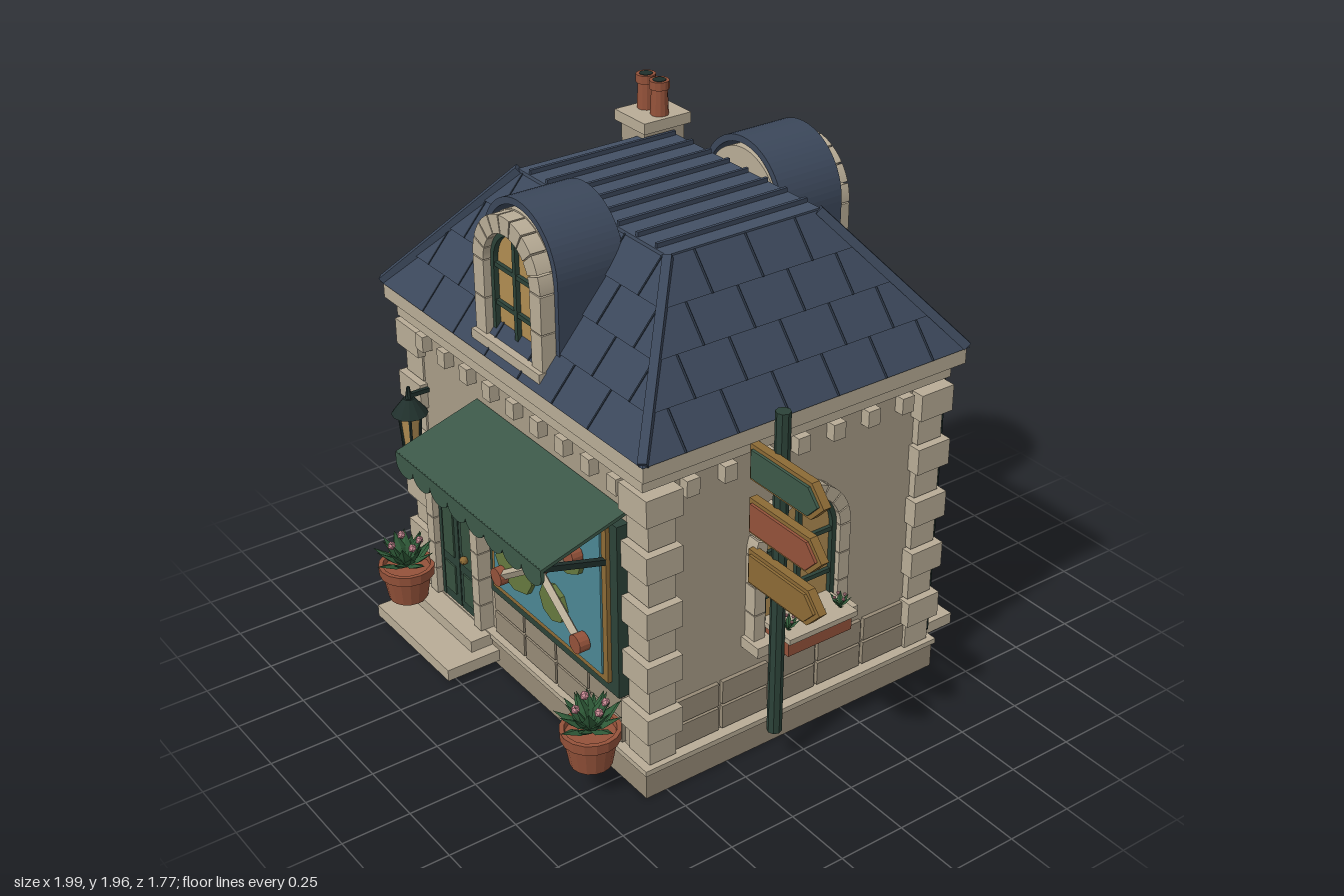
import * as THREE from 'three';

const C = { wall: 0xa89c87, stone: 0xb8ac96, block: 0x968a76, roof: 0x3b475a, seam: 0x2a3442, green: 0x2c4238, awning: 0x3c5848,
  glass: 0xb08c52, gold: 0x8c6a35, clay: 0x94523a, dark: 0x20302c, leaf: 0x2f5a38, pink: 0xc98a94, blue: 0x4b8793, lime: 0x66783f };
const CX = -0.105, CZ = -0.045;
const mats = {};
const mat = c => mats[c] ??= new THREE.MeshStandardMaterial({ color: c, flatShading: true, side: THREE.DoubleSide });

function add(p, name, geo, c, x = 0, y = 0, z = 0) {
  const m = new THREE.Mesh(geo, mat(c));
  m.name = name;
  m.position.set(x, y, z);
  p.add(m);
  return m;
}
function group(p, name, x = 0, y = 0, z = 0, ry = 0) {
  const g = new THREE.Group();
  g.name = name;
  g.position.set(x, y, z);
  g.rotation.y = ry;
  p.add(g);
  return g;
}
const box = (p, name, c, x0, x1, y0, y1, z0, z1) =>
  add(p, name, new THREE.BoxGeometry(x1 - x0, y1 - y0, z1 - z0), c, (x0 + x1) / 2, (y0 + y1) / 2, (z0 + z1) / 2);
const slab = (p, name, c, hx, hz, y0, y1) => box(p, name, c, -hx, hx, y0, y1, -hz, hz);
const cyl = (p, name, c, r1, r0, y0, y1, x, z, n = 12) =>
  add(p, name, new THREE.CylinderGeometry(r1, r0, y1 - y0, n), c, x, (y0 + y1) / 2, z);
const extrude = (p, name, c, shape, z0, z1) =>
  add(p, name, new THREE.ExtrudeGeometry(shape, { depth: z1 - z0, bevelEnabled: false, curveSegments: 16 }), c, 0, 0, z0);
function beam(p, name, c, a, b, w, h = w) {
  const A = new THREE.Vector3(...a), B = new THREE.Vector3(...b);
  const m = add(p, name, new THREE.BoxGeometry(w, h, A.distanceTo(B)), c);
  m.position.copy(A).lerp(B, 0.5);
  m.quaternion.setFromUnitVectors(new THREE.Vector3(0, 0, 1), B.sub(A).normalize());
  return m;
}
const poly = pts => new THREE.Shape(pts.map(q => new THREE.Vector2(...q)));
// Round-headed outline, optionally hollow
function arch(r, spring, bottom, hole = 0) {
  const s = new THREE.Shape().moveTo(r, bottom).lineTo(r, spring);
  s.absarc(0, spring, r, 0, Math.PI).lineTo(-r, bottom);
  if (hole) {
    s.lineTo(-hole, bottom).lineTo(-hole, spring).absarc(0, spring, hole, Math.PI, 0, true);
    s.lineTo(hole, bottom);
  }
  s.closePath();
  return s;
}

// Stone surround, glazing and glazing bars or door leaves, facing local +z
function opening(g, r, spring, bottom, ring, depth, door) {
  const n = 9, R = r + ring;
  for (let i = 0; i < n; i++) {
    const a = Math.PI * i / n + 0.015, b = Math.PI * (i + 1) / n - 0.015, s = new THREE.Shape();
    s.absarc(0, spring, R, a, b).absarc(0, spring, r, b, a, true).closePath();
    extrude(g, 'archStone', C.stone, s, 0, depth);
  }
  const rows = Math.max(2, Math.round((spring - bottom) / 0.11)), h = (spring - bottom) / rows;
  for (const s of [-1, 1]) for (let i = 0; i < rows; i++)
    add(g, 'jambStone', new THREE.BoxGeometry(ring, h - 0.004, depth), C.stone, s * (r + ring / 2), bottom + (i + 0.5) * h, depth / 2);
  extrude(g, 'glass', C.glass, arch(r, spring, bottom), 0, 0.012);
  extrude(g, 'frame', C.green, arch(r, spring, bottom, r - 0.018), 0.005, 0.03);
  if (door) {
    const top = spring - 0.06;
    for (const s of [-1, 1]) {
      const leaf = group(g, 'doorLeaf', s * r / 2);
      box(leaf, 'leaf', C.green, -r / 2 + 0.003, r / 2 - 0.003, bottom, top, 0, 0.028);
      box(leaf, 'lowerPanel', 0x36503f, -0.035, 0.035, bottom + 0.04, bottom + 0.16, 0.02, 0.034);
      box(leaf, 'upperPanel', 0x36503f, -0.035, 0.035, bottom + 0.2, top - 0.03, 0.02, 0.034);
      beam(g, 'fanBar', C.green, [0, top, 0.02], [s * r * 0.75, spring + r * 0.6, 0.02], 0.014);
    }
    box(g, 'transom', C.green, -r, r, top - 0.01, top + 0.012, 0, 0.035);
    add(g, 'doorKnob', new THREE.SphereGeometry(0.016, 10, 8), C.gold, 0.06, bottom + 0.24, 0.045);
  } else {
    box(g, 'mullion', C.green, -0.009, 0.009, bottom, spring + r, 0.005, 0.028);
    for (const f of [0.45, 0.95]) {
      const y = bottom + (spring - bottom) * f;
      box(g, 'glazingBar', C.green, -r, r, y - 0.008, y + 0.008, 0.005, 0.026);
    }
  }
}

// Rosette of pointed leaves with blossoms
function plant(p, r, n, x, y, z) {
  const g = group(p, 'plant', x, y, z);
  for (let i = 0; i < n; i++) {
    const a = i * 2.4, t = 0.45 + 0.75 * (i / n);
    const pivot = group(g, 'leafStem', 0, 0, 0, a);
    const l = add(pivot, 'leaf', new THREE.OctahedronGeometry(1), C.leaf, 0, r * 0.55 * Math.cos(t), r * 0.55 * Math.sin(t));
    l.scale.set(r * 0.2, r * 0.07, r * 0.58);
    l.rotation.x = t - Math.PI / 2;
  }
  for (let i = 0; i < 4; i++)
    add(g, 'blossom', new THREE.IcosahedronGeometry(r * 0.13), C.pink, r * 0.42 * Math.cos(i * 1.7), r * 0.85, r * 0.42 * Math.sin(i * 1.7));
}

function windowWithBox(p, x, z, ry) {
  const g = group(p, 'archedWindow', x, 0, z, ry);
  opening(g, 0.155, 0.78, 0.45, 0.045, 0.05, false);
  box(g, 'sill', C.stone, -0.215, 0.215, 0.42, 0.46, 0, 0.09);
  box(g, 'planterBox', C.clay, -0.135, 0.135, 0.43, 0.49, 0.02, 0.15);
  box(g, 'planterRim', C.stone, -0.145, 0.145, 0.49, 0.51, 0, 0.168);
  for (const d of [-0.11, 0, 0.11]) plant(g, 0.05, 7, d, 0.51, 0.115);
}

function pottedPlant(p, x, z) {
  const g = group(p, 'pottedPlant', x, 0, z);
  const prof = [[0, 0.11], [0.072, 0.11], [0.09, 0.21], [0.102, 0.212], [0.104, 0.25], [0.088, 0.25], [0.085, 0.23], [0, 0.23]];
  add(g, 'pot', new THREE.LatheGeometry(prof.map(q => new THREE.Vector2(...q)), 16), C.clay);
  plant(g, 0.125, 22, 0, 0.235, 0);
}

function roof(h) {
  const at = f => [0.785 - 0.36 * f, 0.655 - 0.355 * f, 1.3 + 0.455 * f];
  const g = group(h, 'roof'), lip = 0.008;
  for (let i = 0; i < 4; i++) {
    const [x0, z0, y0] = at(i / 4), [x1, z1, y1] = at((i + 1) / 4);
    const geo = new THREE.BoxGeometry(2, y1 - y0, 2), p = geo.attributes.position;
    for (let k = 0; k < p.count; k++) {
      const up = p.getY(k) > 0;
      p.setX(k, p.getX(k) * (up ? x1 : x0 + lip));
      p.setZ(k, p.getZ(k) * (up ? z1 : z0 + lip));
    }
    geo.computeVertexNormals();
    add(g, 'slateCourse', geo, C.roof, 0, (y0 + y1) / 2, 0);
    // Joints between slates, staggered by course
    for (const s of [-1, 1]) for (let d = -0.9 + (i % 2) * 0.1; d < 0.9; d += 0.2) {
      if (Math.abs(d) < x1) beam(g, 'slateJoint', C.seam, [d, y0, s * (z0 + lip)], [d, y1, s * z1], 0.006);
      if (Math.abs(d) < z1) beam(g, 'slateJoint', C.seam, [s * (x0 + lip), y0, d], [s * x1, y1, d], 0.006);
    }
  }
  for (const sx of [-1, 1]) for (const sz of [-1, 1])
    beam(g, 'hipRidge', C.roof, [sx * 0.785, 1.305, sz * 0.655], [sx * 0.425, 1.757, sz * 0.3], 0.035, 0.03);
  slab(g, 'roofDeck', 0x435064, 0.425, 0.305, 1.745, 1.762);
  for (let i = 0; i < 8; i++) add(g, 'standingSeam', new THREE.BoxGeometry(0.012, 0.02, 0.6), C.roof, -0.36 + i * 0.103, 1.768, 0);
  // Barrel dormers front and back
  for (const ry of [0, Math.PI]) {
    const d = group(h, 'dormer', 0, 0, 0, ry);
    extrude(d, 'dormerCore', C.stone, arch(0.195, 1.63, 1.31), 0.32, 0.57);
    extrude(d, 'barrelRoof', C.roof, arch(0.22, 1.645, 1.31, 0.196), 0.32, 0.575);
    opening(group(d, 'dormerWindow', 0, 0, 0.57), 0.137, 1.62, 1.35, 0.063, 0.058, false);
    box(d, 'dormerSill', C.stone, -0.205, 0.205, 1.31, 1.355, 0.55, 0.645);
  }
  // Chimney with two clay pots
  const c = group(h, 'chimney', -0.45, 0, -0.27);
  slab(c, 'chimneyShaft', C.wall, 0.07, 0.085, 1.45, 1.79);
  slab(c, 'chimneyCap', C.stone, 0.09, 0.1, 1.79, 1.83);
  for (const x of [-0.04, 0.04]) {
    cyl(c, 'chimneyPot', C.clay, 0.029, 0.033, 1.83, 1.93, x, 0);
    cyl(c, 'chimneyPotRim', C.clay, 0.036, 0.036, 1.925, 1.955, x, 0);
    cyl(c, 'flue', C.dark, 0.024, 0.024, 1.94, 1.957, x, 0);
  }
}

function masonry(h) {
  slab(h, 'base', C.block, 0.75, 0.627, 0, 0.1);
  slab(h, 'baseCap', C.stone, 0.76, 0.635, 0.1, 0.12);
  slab(h, 'walls', C.wall, 0.715, 0.6, 0.12, 1.2);
  slab(h, 'lowerCornice', C.stone, 0.745, 0.63, 1.18, 1.23);
  slab(h, 'upperCornice', C.stone, 0.785, 0.655, 1.24, 1.3);
  slab(h, 'corniceNeck', C.block, 0.73, 0.615, 1.225, 1.245);
  // Corner stones, alternating long and short
  for (const sx of [-1, 1]) for (const sz of [-1, 1]) for (let i = 0; i < 10; i++) {
    const k = i % 2, w = k ? 0.15 : 0.115, o = k ? 0.765 : 0.742;
    add(h, 'cornerStone', new THREE.BoxGeometry(w, 0.098, w - 0.01), C.stone, sx * (o - w / 2), 0.173 + i * 0.104, sz * (o - 0.13 - w / 2));
  }
  for (const s of [-1, 1]) {
    for (let i = -4; i <= 4; i++) add(h, 'dentil', new THREE.BoxGeometry(0.05, 0.06, 0.05), C.stone, i * 0.147, 1.135, s * 0.612);
    for (let i = -3; i <= 3; i++) add(h, 'dentil', new THREE.BoxGeometry(0.05, 0.06, 0.05), C.stone, s * 0.727, 1.135, i * 0.147);
    // Plinth blocks in two rows, left out at the doors
    for (let r = 0; r < 2; r++) {
      for (let i = 0; i < 6; i++) {
        const x = -0.5 + i * 0.2;
        if (s > 0 ? x > -0.29 : Math.abs(x - 0.38) > 0.22)
          add(h, 'plinthBlock', new THREE.BoxGeometry(0.188, 0.09, 0.03), C.block, x, 0.173 + r * 0.1, s * 0.6);
      }
      for (let i = 0; i < 5; i++)
        add(h, 'plinthBlock', new THREE.BoxGeometry(0.03, 0.09, 0.19), C.block, s * 0.715, 0.173 + r * 0.1, -0.41 + i * 0.205);
    }
    cyl(h, 'drainpipe', C.dark, 0.014, 0.014, 0.12, 1.2, s * 0.69, -0.645, 8);
  }
}

function shopFront(g) {
  box(g, 'displayFrame', C.green, -0.265, 0.52, 0.34, 1.0, 0.55, 0.6);
  box(g, 'displayTrim', C.gold, -0.225, 0.48, 0.385, 0.98, 0.59, 0.615);
  box(g, 'displayPanel', C.blue, -0.2, 0.455, 0.41, 0.955, 0.6, 0.622);
  for (const [x, y, w, v, a] of [[0.28, 0.78, 0.095, 0.06, 0.2], [-0.045, 0.555, 0.115, 0.08, 0], [0.19, 0.55, 0.075, 0.07, 0]]) {
    const m = add(g, 'leafPatch', new THREE.CylinderGeometry(1, 1, 0.02, 8).rotateX(Math.PI / 2), C.lime, x, y, 0.63);
    m.scale.set(w, v, 1);
    m.rotation.z = a;
  }
  const hub = [0.127, 0.665, 0.65], ends = [[0.34, 0.825, 0.65], [-0.113, 0.5, 0.65], [0.37, 0.5, 0.65]];
  for (const e of ends) beam(g, 'rod', C.stone, hub, e, 0.024);
  for (const e of [hub, ...ends]) add(g, 'node', new THREE.CylinderGeometry(0.034, 0.034, 0.04, 14).rotateX(Math.PI / 2), C.clay, ...e);
  // Awning with scalloped valance
  const a = group(g, 'awning');
  beam(a, 'canopy', C.awning, [0.08, 1.045, 0.56], [0.08, 0.95, 0.88], 0.89, 0.012);
  const w = 0.89 / 8, v = new THREE.Shape().moveTo(0.525, 0.955).lineTo(-0.365, 0.955).lineTo(-0.365, 0.92);
  for (let i = 0; i < 8; i++) v.absellipse(-0.365 + (i + 0.5) * w, 0.92, w / 2, 0.04, Math.PI, Math.PI * 2);
  extrude(a, 'valance', C.awning, v, 0.872, 0.885);
  for (const x of [-0.31, 0.47]) {
    beam(a, 'awningArm', C.dark, [x, 0.84, 0.56], [x, 0.925, 0.87], 0.02);
    box(a, 'armMount', C.dark, x - 0.014, x + 0.014, 0.81, 0.88, 0.555, 0.6);
  }
}

function lantern(p) {
  const g = group(p, 'wallLantern', -0.715, 0, 0.635);
  cyl(g, 'lanternGlass', C.glass, 0.042, 0.032, 0.74, 0.86, 0, 0, 6);
  cyl(g, 'lanternFoot', C.dark, 0.04, 0.034, 0.72, 0.742, 0, 0, 6);
  cyl(g, 'lanternCap', C.dark, 0.02, 0.066, 0.86, 0.92, 0, 0, 12);
  cyl(g, 'finial', C.dark, 0.006, 0.014, 0.92, 0.965, 0, 0, 8);
  for (let i = 0; i < 6; i++) {
    const c = Math.sin(i * Math.PI / 3), s = Math.cos(i * Math.PI / 3);
    beam(g, 'lanternBar', C.dark, [c * 0.033, 0.74, s * 0.033], [c * 0.043, 0.86, s * 0.043], 0.008);
  }
  beam(g, 'lanternArm', C.dark, [0, 0.93, -0.08], [0, 0.93, 0], 0.016);
}

function signpost(p) {
  const g = group(p, 'signpost', 0.735, 0, 0.12);
  cyl(g, 'post', C.green, 0.026, 0.026, 0.13, 1.355, 0, 0, 8);
  const arrow = k => poly([[-0.095 + k, -0.065 + k], [0.205 - k / 2, -0.065 + k], [0.265 - k * 1.4, 0], [0.205 - k / 2, 0.065 - k], [-0.095 + k, 0.065 - k]]);
  [[1.148, C.awning], [0.95, C.clay], [0.757, C.gold]].forEach(([y, c]) => {
    const s = group(g, 'arrowSign', 0, y, 0);
    extrude(s, 'signBoard', C.gold, arrow(0), 0.02, 0.05);
    extrude(s, 'signFace', c, arrow(0.014), 0.05, 0.06);
  });
}

export function createModel() {
  const root = new THREE.Group();
  root.name = 'cornerShop';
  const h = group(root, 'house', CX, 0, CZ);
  masonry(h);
  roof(h);
  windowWithBox(h, 0.715, 0, Math.PI / 2);
  windowWithBox(h, -0.715, 0, -Math.PI / 2);
  windowWithBox(h, 0, -0.6, Math.PI);
  opening(group(h, 'frontDoor', -0.408, 0, 0.6), 0.128, 0.665, 0.12, 0.047, 0.055, true);
  opening(group(h, 'backDoor', 0.38, 0, -0.6, Math.PI), 0.128, 0.47, 0.12, 0.047, 0.055, true);
  box(root, 'frontLowerStep', C.stone, -0.77, -0.265, 0.025, 0.07, 0.5, 0.795);
  box(root, 'frontUpperStep', C.stone, -0.72, -0.31, 0.07, 0.115, 0.5, 0.67);
  box(root, 'backLowerStep', C.stone, 0.03, 0.52, 0.025, 0.07, -0.885, -0.6);
  box(root, 'backUpperStep', C.stone, 0.08, 0.475, 0.07, 0.115, -0.79, -0.6);
  shopFront(group(root, 'shopFront'));
  lantern(root);
  signpost(root);
  pottedPlant(root, -0.71, 0.695);
  pottedPlant(root, 0.49, 0.695);
  return root;
}
